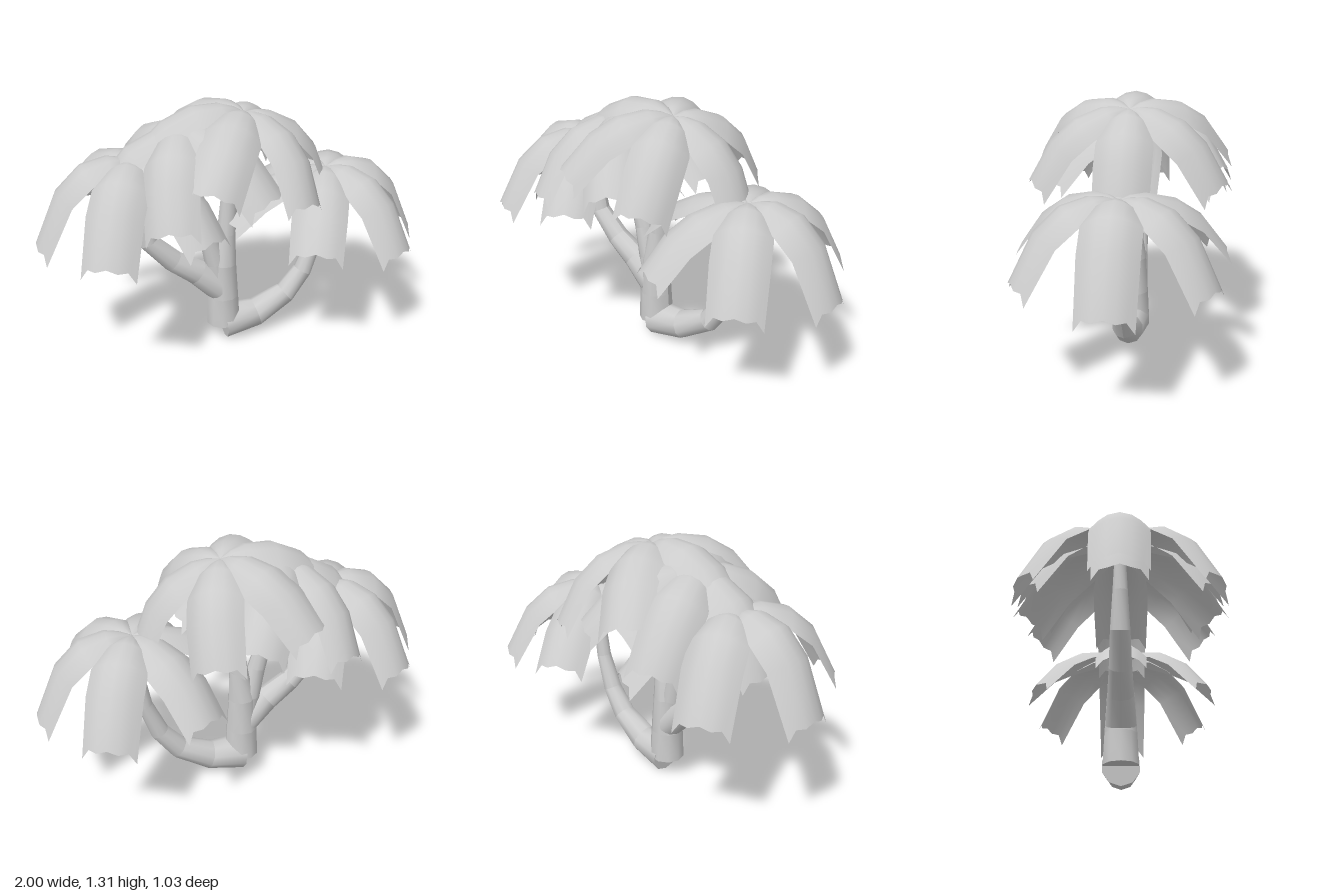
import * as THREE from 'three';
import { mergeGeometries } from 'three/addons/utils/BufferGeometryUtils.js';

const material = new THREE.MeshStandardMaterial({ color: 0xcccccc, side: THREE.DoubleSide });

// Skin a grid of points: rows of equal length
function skin(rows) {
  const n = rows[0].length, index = [];
  for (let i = 0; i < rows.length - 1; i++) {
    for (let j = 0; j < n - 1; j++) {
      const a = i * n + j, b = a + 1, c = a + n, d = c + 1;
      index.push(a, b, c, b, d, c);
    }
  }
  const g = new THREE.BufferGeometry();
  g.setAttribute('position', new THREE.Float32BufferAttribute(rows.flat(2), 3));
  g.setIndex(index);
  g.computeVertexNormals();
  return g;
}

// Unit direction of a path of [x, y, ...] points at point i
function tangent(path, i) {
  const p = path[Math.max(i - 1, 0)], q = path[Math.min(i + 1, path.length - 1)];
  const len = Math.hypot(q[0] - p[0], q[1] - p[1]);
  return [(q[0] - p[0]) / len, (q[1] - p[1]) / len];
}

// Tapered, bent trunk through [x, y, radius] stations; each joint shows as a ring
function trunkGeometry(stations, sides = 10) {
  const ring = (i, scale) => {
    const [x, y, r] = stations[i], [tx, ty] = tangent(stations, i), row = [];
    for (let j = 0; j <= sides; j++) {
      const a = -j / sides * Math.PI * 2, u = r * scale * Math.cos(a);
      row.push([x + ty * u, y - tx * u, r * scale * Math.sin(a)]);
    }
    return row;
  };
  const last = stations.length - 1;
  const rows = [ring(0, 0), ...stations.map((s, i) => ring(i, 1)), ring(last, 0)];
  return mergeGeometries(rows.slice(1).map((row, i) => skin([rows[i], row])));
}

// Frond ridge lines and edges: [reach, height, half width, edge droop]
const steep = [
  [0, 0, 0.01, 0.005], [0.06, 0.025, 0.06, 0.03], [0.13, 0.036, 0.11, 0.055],
  [0.26, 0.005, 0.137, 0.075], [0.385, -0.115, 0.137, 0.07], [0.495, -0.365, 0.13, 0.055],
];
const flat = [
  [0, 0, 0.01, 0.005], [0.06, 0.015, 0.06, 0.03], [0.14, 0.015, 0.11, 0.055],
  [0.29, -0.025, 0.137, 0.075], [0.42, -0.1, 0.137, 0.07], [0.54, -0.215, 0.13, 0.055],
];

// Arched frond running along +x; flatness 0 hangs steeply, 1 lies flatter
function frondGeometry(flatness) {
  const profile = steep.map((p, i) => p.map((v, k) => v + (flat[i][k] - v) * flatness));
  const across = [1, 0.72, 0.4, 0, -0.4, -0.72, -1];
  const ragged = [0.052, 0.005, 0.015, 0, 0.015, 0.005, 0.052]; // uneven tip
  return skin(profile.map(([x, y, w, droop], i) => {
    const [tx, ty] = tangent(profile, i);
    return across.map((t, j) => {
      const d = droop * t * t;
      const e = i === profile.length - 1 ? ragged[j] : 0;
      return [x + ty * d + tx * e, y - tx * d + ty * e, w * t];
    });
  }));
}

export function createModel() {
  const model = new THREE.Group();
  model.name = 'palmCluster';

  // Trunks
  const trunks = {
    rightTrunk: [[-0.06, 0.097, 0.095], [0.125, 0.115, 0.077], [0.295, 0.205, 0.06],
      [0.395, 0.33, 0.05], [0.465, 0.51, 0.04], [0.505, 0.76, 0.033], [0.51, 0.86, 0.022]],
    mainTrunk: [[-0.058, 0.1, 0.092], [-0.06, 0.26, 0.084], [-0.06, 0.45, 0.073],
      [-0.04, 0.62, 0.05], [-0.02, 0.85, 0.044], [0.02, 1.1, 0.035], [0.03, 1.17, 0.022]],
    middleTrunk: [[-0.07, 0.3, 0.065], [-0.1, 0.46, 0.058], [-0.14, 0.62, 0.047],
      [-0.195, 0.82, 0.041], [-0.28, 1.12, 0.03]],
    leftTrunk: [[-0.08, 0.31, 0.08], [-0.2, 0.415, 0.068], [-0.325, 0.5, 0.058],
      [-0.45, 0.63, 0.05], [-0.48, 0.82, 0.038], [-0.49, 0.97, 0.03]],
  };
  for (const [name, stations] of Object.entries(trunks)) {
    const trunk = new THREE.Mesh(trunkGeometry(stations), material);
    trunk.name = name;
    model.add(trunk);
  }

  // Crowns of six fronds: name, x, y, outward side, lean, outward and inward flatness
  const crowns = [
    ['rightCrown', 0.505, 0.92, 1, 0, 0, 1],
    ['mainCrown', 0.055, 1.255, 1, 0.22, 0.55, 0.55],
    ['middleCrown', -0.27, 1.2, -1, 0.2, 0.55, 0.55],
    ['leftCrown', -0.5, 1.065, -1, 0, 0, 1],
  ];
  const angles = [0, 62, 118, 180, 242, 298].map(THREE.MathUtils.degToRad);
  for (const [name, x, y, side, lean, outward, inward] of crowns) {
    const crown = new THREE.Group();
    crown.name = name;
    crown.position.set(x, y, 0);
    crown.rotation.z = -side * lean;
    for (const a of angles) {
      const flatness = THREE.MathUtils.lerp(outward, inward, (1 - Math.cos(a)) / 2);
      const frond = new THREE.Mesh(frondGeometry(flatness), material);
      frond.name = 'frond';
      frond.rotation.y = side > 0 ? a : Math.PI - a;
      crown.add(frond);
    }
    model.add(crown);
  }
  return model;
}
